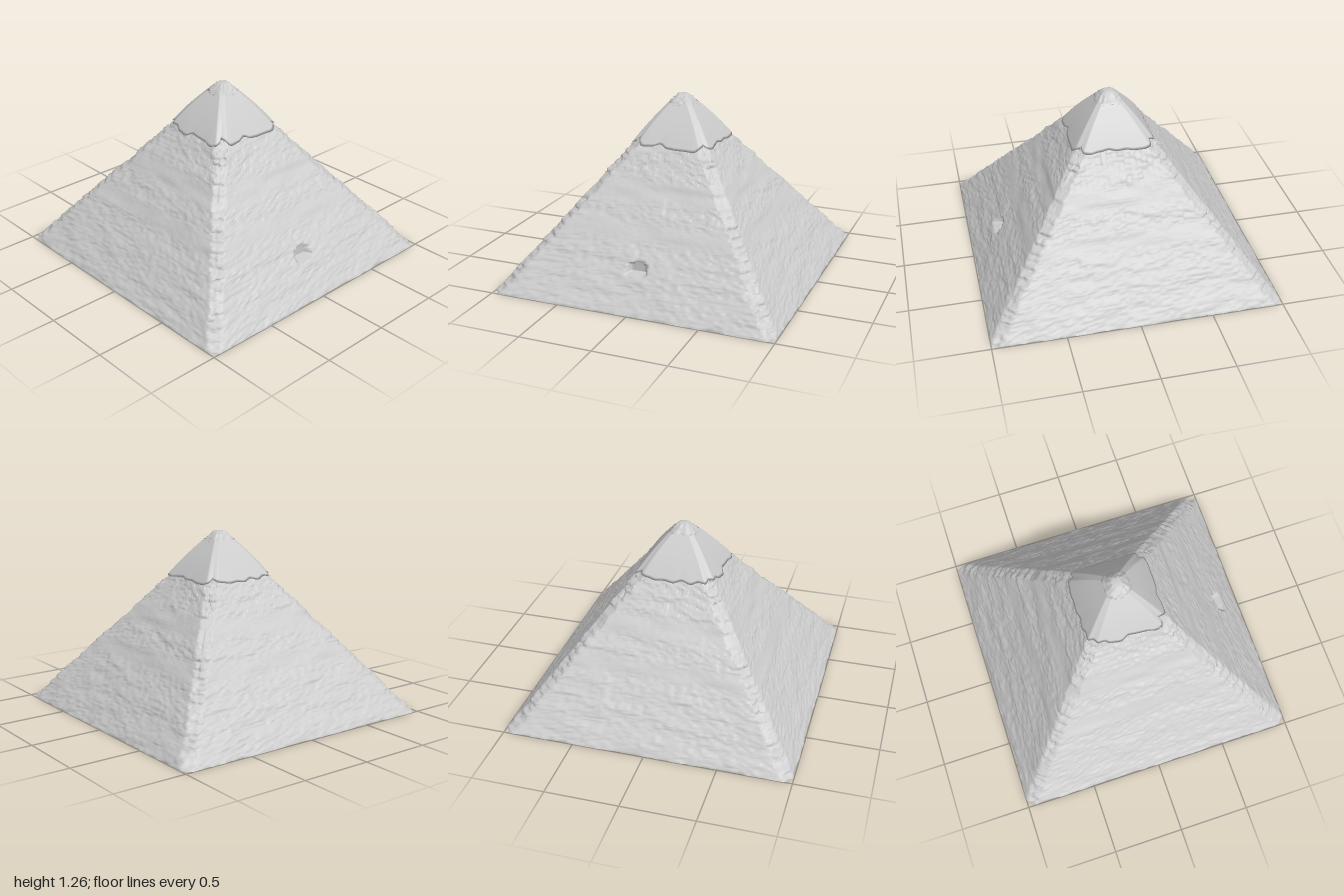
import * as THREE from 'three';

const material = new THREE.MeshStandardMaterial({ color: 0xcccccc, side: THREE.DoubleSide });

// Seeded hash and smooth value noise, both 0..1
function hash(a, b, c = 0) {
  const s = Math.sin(a * 127.1 + b * 311.7 + c * 74.7) * 43758.5453;
  return s - Math.floor(s);
}
function noise(x, y, seed) {
  const ix = Math.floor(x), iy = Math.floor(y);
  const fx = THREE.MathUtils.smoothstep(x - ix, 0, 1);
  const fy = THREE.MathUtils.smoothstep(y - iy, 0, 1);
  const { lerp } = THREE.MathUtils;
  return lerp(
    lerp(hash(ix, iy, seed), hash(ix + 1, iy, seed), fx),
    lerp(hash(ix, iy + 1, seed), hash(ix + 1, iy + 1, seed), fx), fy);
}

// Half width of the pyramid at a height
const slope = (y) => 1 - 0.768 * y;

// Point on a square ring of half width h with its corners cut by c
function ringPoint(side, u, h, y, c) {
  let along = u * h, out = h;
  const extra = Math.max(0, Math.abs(along) + out - (2 * h - c)) / 2;
  along -= Math.sign(along) * extra;
  out -= extra;
  return [[along, y, out], [out, y, -along], [-along, y, -out], [-out, y, along]][side];
}

// Skin stacked rings: rule(row, side, u) gives { h, y, c }
function skin(name, rows, perSide, rule) {
  const positions = [], indices = [], count = perSide * 4;
  for (let r = 0; r < rows; r++) {
    for (let i = 0; i < count; i++) {
      const side = Math.floor(i / perSide);
      const u = (i % perSide) / perSide * 2 - 1;
      const { h, y, c } = rule(r, side, u);
      positions.push(...ringPoint(side, u, h, y, c));
      if (r === rows - 1) continue;
      const next = (i + 1) % count, a = r * count + i, b = r * count + next;
      indices.push(a, b, b + count, a, b + count, a + count);
    }
  }
  const geometry = new THREE.BufferGeometry();
  geometry.setAttribute('position', new THREE.Float32BufferAttribute(positions, 3));
  geometry.setIndex(indices);
  geometry.computeVertexNormals();
  const mesh = new THREE.Mesh(geometry, material);
  mesh.name = name;
  return mesh;
}

// Weathered courses: a riser and a tread each, with open bottom
function masonry() {
  const courses = 64, top = 0.97, step = top / courses;
  return skin('masonryCourses', courses * 2, 100, (r, side, u) => {
    const k = Math.floor(r / 2), upper = r % 2;
    const low = k * step, y = low + upper * step;
    const along = u * slope(low);
    // Two worn bands are smoother than the rest
    const worn = Math.max(
      1 - Math.abs(y - 0.45) / 0.06, 1 - Math.abs(y - 0.68) / 0.08, 0);
    const rough = 1 - 0.75 * Math.min(1, worn * 2);
    const sharp = noise(along * 14 + side * 50, k * 0.7, 1) * rough;
    let h = THREE.MathUtils.lerp(slope(y), slope(low) - step * 0.38, sharp);
    // Uneven blocks and broad undulation
    h += (hash(Math.floor(along / 0.04) + side * 90, k, 2) - 0.5) * 0.008 * rough;
    h += (noise(along * 5 + side * 30, y * 22, 3) - 0.5) * 0.012;
    // Entrance notch low on the front
    if (side === 0 && along > -0.07 && along < 0.055 && y > 0.22 && y < 0.3 - Math.abs(along) * 0.3) {
      h = Math.min(h, 0.765);
    }
    h = Math.min(h, 1);
    return { h, y, c: 0.045 + 0.03 * hash(k, 7) };
  });
}

// Smooth remaining casing with a ragged overhanging lower edge
function casing() {
  const rows = 18;
  return skin('smoothCasing', rows, 60, (r, side, u) => {
    const along = u * 0.29;
    const edge = 0.925 + 0.035 * noise(along * 16 + side * 20, 0, 5) + 0.025 * Math.pow(Math.abs(u), 6);
    const t = Math.max(0, r - 1) / (rows - 2);
    const y = THREE.MathUtils.lerp(edge, 1.2, t);
    const bulge = 0.008 * Math.sin(t * Math.PI);
    const tuck = r === 0 ? 0.03 : 0;
    return { h: slope(y) + 0.008 + bulge - tuck, y, c: 0.05 - 0.025 * t };
  });
}

// Broken, blunt summit
function summit() {
  const profile = [[0.085, 1.17], [0.094, 1.19], [0.082, 1.2], [0.076, 1.215], [0.064, 1.22],
    [0.058, 1.235], [0.046, 1.24], [0.038, 1.253], [0.026, 1.258], [0, 1.258]];
  return skin('brokenSummit', profile.length, 14, (r, side, u) => {
    const [h, y] = profile[r];
    const chip = (hash(Math.floor(u * 4) + side * 11, r, 8) - 0.5) * 0.012;
    return { h: h === 0 ? 0 : h + chip, y, c: h * 0.4 };
  });
}

export function createModel() {
  const group = new THREE.Group();
  group.name = 'pyramid';
  group.add(masonry(), casing(), summit());
  return group;
}
